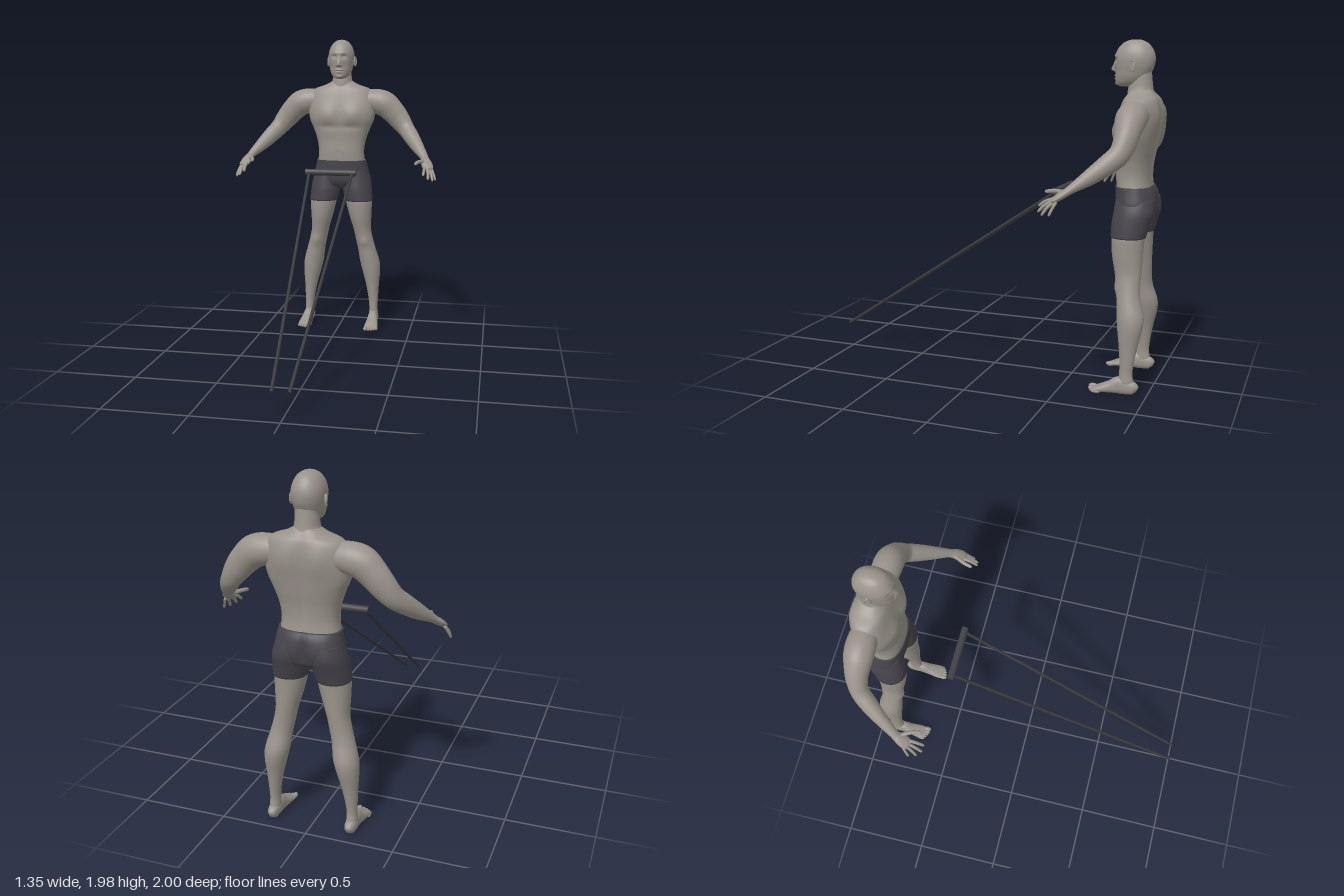
import * as THREE from 'three';

const mat = (name, color) => Object.assign(new THREE.MeshStandardMaterial({ color }), { name });

// Catmull-Rom interpolation of one column of a table of rows
function sample(rows, t, c) {
  const last = rows.length - 1, i = Math.min(Math.floor(t), last - 1), f = t - i;
  const at = k => rows[Math.max(0, Math.min(last, k))][c];
  const [a, b, d, e] = [at(i - 1), at(i), at(i + 1), at(i + 2)];
  return b + 0.5 * f * (d - a + f * (2 * a - 5 * b + 4 * d - e + f * (3 * (b - d) + e - a)));
}

// Closed skin over rows [x, y, z, radiusA, radiusB]; rings are level or square to the path
function loft(rows, { n = 32, steps = 6, level = false, power = 2, side = 1, warp } = {}) {
  const count = (rows.length - 1) * steps, pos = [], index = [];
  const point = t => new THREE.Vector3(...[0, 1, 2].map(c => sample(rows, t, c)));
  const add = p => {
    if (warp) warp(p);
    pos.push(p.x * side, p.y, p.z);
  };
  const bend = v => Math.sign(v) * Math.abs(v) ** (2 / power);
  for (let i = 0; i <= count; i++) {
    const t = i / steps, c = point(t);
    const a = new THREE.Vector3(1, 0, 0), b = new THREE.Vector3(0, 0, 1);
    if (!level) {
      const dir = point(Math.min(t + 0.05, rows.length - 1)).sub(point(Math.max(t - 0.05, 0))).normalize();
      a.crossVectors(dir, new THREE.Vector3(0, 1, 0)).normalize();
      b.crossVectors(a, dir);
    }
    const ra = Math.max(0.001, sample(rows, t, 3)), rb = Math.max(0.001, sample(rows, t, 4));
    for (let j = 0; j < n; j++) {
      const w = (j / n) * Math.PI * 2;
      add(c.clone().addScaledVector(a, ra * bend(Math.cos(w))).addScaledVector(b, rb * bend(Math.sin(w))));
    }
  }
  for (let i = 0; i < count; i++) for (let j = 0; j < n; j++) {
    const p = i * n + j, q = i * n + (j + 1) % n;
    index.push(p, p + n, q, q, p + n, q + n);
  }
  const end = (count + 1) * n;
  add(point(0));
  add(point(rows.length - 1));
  for (let j = 0; j < n; j++) {
    const k = (j + 1) % n;
    index.push(end, j, k, end + 1, count * n + k, count * n + j);
  }
  // turn all faces outwards
  const v = k => new THREE.Vector3().fromArray(pos, index[k] * 3);
  let volume = 0;
  for (let k = 0; k < index.length; k += 3) volume += v(k).dot(v(k + 1).cross(v(k + 2)));
  if (volume < 0) index.reverse();
  const g = new THREE.BufferGeometry();
  g.setAttribute('position', new THREE.Float32BufferAttribute(pos, 3));
  g.setIndex(index);
  g.computeVertexNormals();
  return g;
}

// rows [height, half width, front z, back z] to centred level rings
const stack = rows => rows.map(([y, r, f, b]) => [0, y, (f + b) / 2, r, (f - b) / 2]);
const bump = (x, y, cx, cy, sx, sy) => Math.exp(-(((x - cx) / sx) ** 2) - ((y - cy) / sy) ** 2);

export function createModel() {
  const model = new THREE.Group();
  model.name = 'athleteWithPullBar';
  const skin = mat('skin', 0x99938a), cloth = mat('shortsCloth', 0x46444b);
  const grip = mat('gripDark', 0x424145), steel = mat('poleDark', 0x39393b);
  const add = (name, geometry, material, parent = model) => {
    const m = new THREE.Mesh(geometry, material);
    m.name = name;
    parent.add(m);
    return m;
  };

  // Torso with chest muscles, shoulder blades and spine groove
  add('torso', loft(stack([
    [1.71, 0.06, -0.82, -0.94], [1.68, 0.115, -0.805, -0.96], [1.652, 0.19, -0.79, -0.978],
    [1.6, 0.222, -0.772, -0.988], [1.53, 0.232, -0.755, -0.988], [1.45, 0.222, -0.748, -0.98],
    [1.38, 0.193, -0.752, -0.97], [1.3, 0.166, -0.757, -0.955], [1.22, 0.156, -0.755, -0.95],
    [1.14, 0.166, -0.762, -0.958],
  ]), { n: 64, level: true, power: 2.4, warp: p => {
    const x = Math.abs(p.x);
    if (p.z > -0.85) {
      p.z += 0.018 * bump(x, p.y, 0.09, 1.48, 0.07, 0.06) - 0.008 * bump(x, p.y, 0, 1.46, 0.015, 0.12);
      p.z -= 0.006 * bump(x, p.y, 0, 1.215, 0.008, 0.01) + 0.008 * bump(x, p.y, 0.07, 1.4, 0.07, 0.02);
    } else if (p.z < -0.89) {
      p.z -= 0.014 * bump(x, p.y, 0.09, 1.56, 0.06, 0.09);
      p.z += 0.018 * bump(x, p.y, 0, 1.4, 0.025, 0.2);
    }
  } }), skin);

  // Neck
  add('neck', loft(stack([
    [1.83, 0.058, -0.83, -0.93], [1.76, 0.062, -0.812, -0.938], [1.71, 0.068, -0.803, -0.945],
    [1.67, 0.085, -0.8, -0.955], [1.62, 0.1, -0.8, -0.965],
  ]), { level: true }), skin);

  // Head with nose, eye sockets, brow, lips and chin
  add('head', loft(stack([
    [1.983, 0.006, -0.833, -0.848], [1.978, 0.03, -0.802, -0.88], [1.958, 0.057, -0.764, -0.915],
    [1.92, 0.078, -0.736, -0.942], [1.88, 0.086, -0.726, -0.952], [1.84, 0.084, -0.726, -0.947],
    [1.81, 0.079, -0.729, -0.935], [1.78, 0.073, -0.73, -0.918], [1.75, 0.06, -0.731, -0.895],
    [1.732, 0.042, -0.736, -0.87], [1.722, 0.015, -0.765, -0.82],
  ]), { n: 80, steps: 9, level: true, power: 2.2, warp: p => {
    if (p.z < -0.8) return;
    const x = Math.abs(p.x), y = p.y;
    p.z += 0.024 * bump(x, y, 0, 1.815, 0.012, y > 1.815 ? 0.036 : 0.009);
    p.z += 0.006 * bump(x, y, 0.015, 1.812, 0.007, 0.008);
    p.z += 0.005 * bump(x, y, 0.028, 1.893, 0.024, 0.009);
    p.z -= 0.013 * bump(x, y, 0.032, 1.87, 0.018, 0.012);
    p.z += 0.006 * bump(x, y, 0.034, 1.868, 0.011, 0.005);
    p.z += 0.008 * bump(x, y, 0, 1.782, 0.021, 0.006) + 0.007 * bump(x, y, 0, 1.767, 0.019, 0.006);
    p.z -= 0.004 * bump(x, y, 0, 1.775, 0.025, 0.0025);
    p.z += 0.004 * bump(x, y, 0, 1.738, 0.02, 0.01);
  } }), skin);

  // Pelvis part of the shorts
  add('shortsPelvis', loft(stack([
    [1.168, 0.171, -0.753, -0.962], [1.13, 0.178, -0.754, -0.982], [1.07, 0.19, -0.757, -0.993],
    [1.02, 0.186, -0.765, -0.984], [0.985, 0.15, -0.79, -0.965], [0.965, 0.07, -0.83, -0.92],
  ]), { n: 64, level: true, power: 2.4, warp: p => {
    if (p.z < -0.89) p.z += 0.028 * bump(p.x, p.y, 0, 1.05, 0.018, 0.07);
  } }), cloth);

  for (const side of [1, -1]) {
    const label = side > 0 ? 'left' : 'right';
    const limb = (name, rows, options = {}, material = skin, parent = model) =>
      add(label + name, loft(rows, { side, ...options }), material, parent);

    // Ear
    const ear = add(label + 'Ear', new THREE.SphereGeometry(1, 20, 14), skin);
    ear.scale.set(0.008, 0.032, 0.018);
    ear.position.set(side * 0.088, 1.838, -0.845);
    ear.rotation.set(-0.15, side * -0.3, 0);
    const rim = add(label + 'EarRim', new THREE.TorusGeometry(0.02, 0.004, 8, 24), skin);
    rim.scale.set(0.8, 1.4, 1);
    rim.position.set(side * 0.093, 1.838, -0.847);
    rim.rotation.y = side * (Math.PI / 2 - 0.3);

    // Arm from inside the chest to the wrist
    limb('Arm', [
      [0.13, 1.572, -0.885, 0.07, 0.07], [0.22, 1.57, -0.885, 0.084, 0.083], [0.29, 1.552, -0.885, 0.084, 0.087],
      [0.345, 1.505, -0.885, 0.073, 0.08], [0.395, 1.447, -0.882, 0.062, 0.072], [0.443, 1.385, -0.862, 0.053, 0.06],
      [0.485, 1.335, -0.81, 0.051, 0.054], [0.535, 1.275, -0.735, 0.041, 0.043],
      [0.585, 1.218, -0.655, 0.028, 0.025], [0.597, 1.2, -0.63, 0.027, 0.022],
    ]);

    // Hand: palm, four fingers and thumb
    const hand = new THREE.Group();
    hand.name = label + 'Hand';
    model.add(hand);
    limb('Palm', [
      [0.583, 1.22, -0.66, 0.025, 0.02], [0.597, 1.2, -0.63, 0.029, 0.021], [0.608, 1.178, -0.597, 0.037, 0.02],
      [0.619, 1.156, -0.565, 0.035, 0.015], [0.623, 1.148, -0.553, 0.022, 0.008],
    ], {}, skin, hand);
    [
      ['Thumb', [0.588, 1.195, -0.61], [0.556, 1.195, -0.55], [0.541, 1.187, -0.492], 0.012],
      ['IndexFinger', [0.598, 1.163, -0.568], [0.597, 1.145, -0.515], [0.595, 1.116, -0.474], 0.0095],
      ['MiddleFinger', [0.614, 1.156, -0.565], [0.622, 1.127, -0.518], [0.627, 1.09, -0.48], 0.0095],
      ['RingFinger', [0.63, 1.15, -0.57], [0.643, 1.116, -0.535], [0.654, 1.077, -0.508], 0.009],
      ['LittleFinger', [0.641, 1.15, -0.585], [0.656, 1.116, -0.568], [0.669, 1.078, -0.552], 0.008],
    ].forEach(([name, a, b, c, r]) => {
      const near = b.map((v, k) => v * 0.2 + c[k] * 0.8);
      limb(name, [[...a, r * 1.1, r * 1.1], [...b, r, r], [...near, r * 0.85, r * 0.85], [...c, r * 0.25, r * 0.25]],
        { n: 14, steps: 5 }, skin, hand);
    });

    // Leg of the shorts
    limb('ShortsLeg', [
      [0.095, 1.1, -0.876, 0.085, 0.105], [0.105, 1.03, -0.876, 0.097, 0.114], [0.112, 0.96, -0.862, 0.1, 0.108],
      [0.124, 0.887, -0.851, 0.094, 0.098],
    ], { level: true, n: 48, power: 2.15 }, cloth);

    // Bare leg: thigh, knee, calf and ankle
    limb('Leg', [
      [0.118, 0.93, -0.855, 0.09, 0.095], [0.125, 0.87, -0.85, 0.089, 0.093], [0.135, 0.78, -0.852, 0.076, 0.087],
      [0.147, 0.69, -0.86, 0.061, 0.076], [0.163, 0.61, -0.867, 0.06, 0.067], [0.18, 0.54, -0.874, 0.062, 0.067],
      [0.199, 0.45, -0.89, 0.068, 0.076], [0.21, 0.38, -0.892, 0.062, 0.071], [0.22, 0.28, -0.887, 0.045, 0.053],
      [0.227, 0.18, -0.883, 0.033, 0.04], [0.229, 0.12, -0.88, 0.029, 0.038], [0.23, 0.075, -0.882, 0.031, 0.043],
      [0.23, 0.03, -0.885, 0.03, 0.045],
    ], { level: true, n: 40, warp: p => {
      p.z += 0.012 * bump(p.x, p.y, 0.17, 0.6, 0.035, 0.035) * (p.z > -0.85);
    } });

    // Foot and toes
    limb('Foot', [
      [0.229, 0.03, -0.946, 0.012, 0.015], [0.229, 0.038, -0.93, 0.027, 0.034], [0.23, 0.045, -0.89, 0.033, 0.044],
      [0.23, 0.05, -0.845, 0.033, 0.05], [0.231, 0.036, -0.795, 0.038, 0.035], [0.232, 0.024, -0.745, 0.045, 0.022],
      [0.232, 0.016, -0.71, 0.046, 0.014], [0.232, 0.013, -0.69, 0.036, 0.009],
    ], { power: 2.4, warp: p => { p.y = Math.max(p.y, 0.002); } });
    [[0.2, 0.015, -0.658], [0.222, 0.011, -0.66], [0.24, 0.0105, -0.667], [0.257, 0.01, -0.676], [0.272, 0.009, -0.688]]
      .forEach(([x, r, tip], i) => {
        const toe = add(`${label}Toe${i + 1}`, new THREE.SphereGeometry(1, 14, 10), skin);
        toe.scale.set(r, r, 0.028);
        toe.position.set(side * x, r, tip - 0.028);
      });

    // Pole running down and forward from the grip bar
    const top = new THREE.Vector3(side * 0.142, 1.127, -0.435), tip = new THREE.Vector3(side * 0.048, 0.165, 0.996);
    const pole = add(label + 'Pole', new THREE.CylinderGeometry(0.0095, 0.0095, top.distanceTo(tip), 16), steel);
    pole.position.copy(top).add(tip).multiplyScalar(0.5);
    pole.quaternion.setFromUnitVectors(new THREE.Vector3(0, 1, 0), top.clone().sub(tip).normalize());
  }

  // Grip bar joining the poles
  const bar = add('gripBar', new THREE.CylinderGeometry(0.021, 0.021, 0.332, 24), grip);
  bar.rotation.z = Math.PI / 2;
  bar.position.set(0, 1.128, -0.435);

  return model;
}
